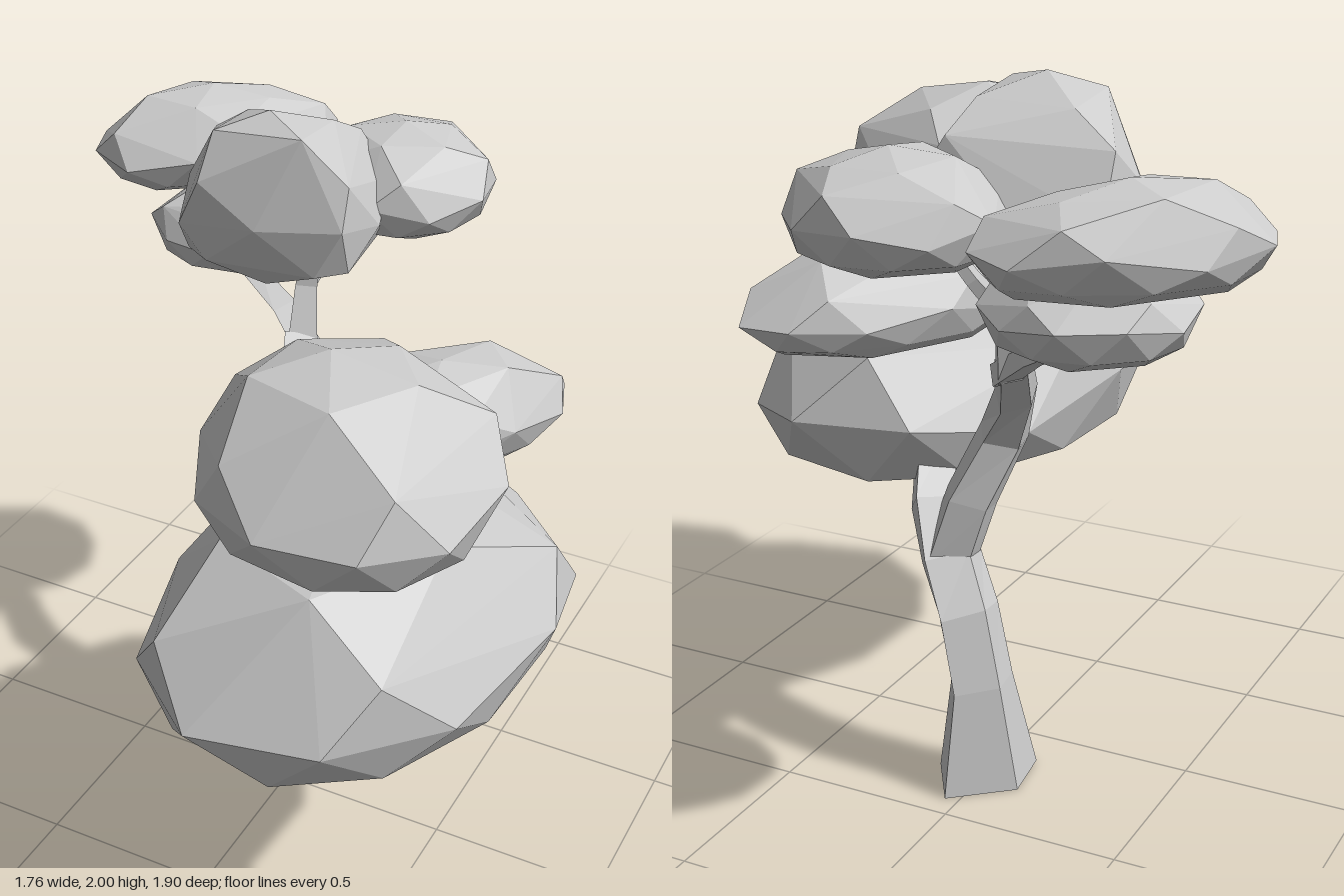
import * as THREE from 'three';
import { ConvexGeometry } from 'three/addons/geometries/ConvexGeometry.js';

const material = new THREE.MeshStandardMaterial({ color: 0xcccccc, flatShading: true });
const { degToRad, lerp } = THREE.MathUtils;

// Uneven four-sided cross-section shared by trunk and branches: [angle, radius factor]
const CORNERS = [[4, 0.9], [126, 1.25], [189, 0.9], [281, 1.06]];

// Tapered limb swept through nodes [x, y, z, radius]
function limb(name, nodes) {
  const pts = nodes.map(([x, y, z]) => new THREE.Vector3(x, y, z));
  const n = CORNERS.length;
  const pos = [];
  const index = [];
  pts.forEach((p, i) => {
    const t = pts[Math.min(i + 1, pts.length - 1)].clone().sub(pts[Math.max(i - 1, 0)]).normalize();
    if (p.y === 0) t.set(0, 1, 0);
    const u = new THREE.Vector3(1, 0, 0).addScaledVector(t, -t.x).normalize();
    const v = u.clone().cross(t);
    for (const [angle, factor] of CORNERS) {
      const a = degToRad(angle), r = nodes[i][3] * factor;
      const q = p.clone().addScaledVector(u, Math.cos(a) * r).addScaledVector(v, Math.sin(a) * r);
      pos.push(q.x, q.y, q.z);
    }
  });
  for (let i = 0; i < pts.length - 1; i++) {
    for (let j = 0; j < n; j++) {
      const a = i * n + j, b = i * n + (j + 1) % n;
      index.push(a, a + n, b, b, a + n, b + n);
    }
  }
  // End caps
  const e = (pts.length - 1) * n;
  index.push(0, 1, 2, 0, 2, 3, e, e + 2, e + 1, e, e + 3, e + 2);
  const indexed = new THREE.BufferGeometry();
  indexed.setAttribute('position', new THREE.Float32BufferAttribute(pos, 3));
  indexed.setIndex(index);
  const geometry = indexed.toNonIndexed();
  geometry.computeVertexNormals();
  const mesh = new THREE.Mesh(geometry, material);
  mesh.name = name;
  return mesh;
}

const signedPow = (v, p) => Math.sign(v) * Math.abs(v) ** p;

// Faceted leaf clump: a turned egg-shaped plan, domed to an apex and flat underneath.
// taper widens the plan towards its yaw end; powers below 1 square it off, above 1 sharpen it.
function clump({ name, center, size, yaw, taper = 0, power = [1, 1], sides = 10, mid, bottom, apex, base = 0.6 }) {
  const [ax, ay, az] = apex;
  const c = Math.cos(degToRad(yaw)), s = Math.sin(degToRad(yaw));
  const rise = ay - mid, drop = mid - bottom;
  const wobble = (i, k) => Math.sin(i * 2.4 + k * 1.7 + ax * 9);
  const points = [new THREE.Vector3(ax, ay, az)];

  // Adds the plan point at step i, scaled and leaning towards the apex
  const add = (i, scale, y, lean = 0) => {
    const a = (i / sides) * Math.PI * 2;
    const along = size[0] * signedPow(Math.cos(a), power[0]) * scale;
    const across = size[1] * signedPow(Math.sin(a), power[1]) * (1 + taper * Math.cos(a)) * scale;
    points.push(new THREE.Vector3(
      lerp(center[0], ax, lean) + along * c - across * s, y,
      lerp(center[1], az, lean) + along * s + across * c));
  };

  for (let i = 0; i < sides; i++) {
    add(i, 1 + 0.02 * wobble(i, 3), mid + wobble(i, 0) * 0.12 * rise);
    add(i + 0.5, 0.87, mid - drop * 0.65);
    if (i % 2 === 0) {
      add(i, base, bottom);
      add(i + 0.5, 0.9, mid + rise * (0.48 + 0.08 * wobble(i, 1)), 0.25);
      add(i + 1.2, 0.54, mid + rise * (0.83 + 0.06 * wobble(i, 2)), 0.7);
    }
  }
  const mesh = new THREE.Mesh(new ConvexGeometry(points), material);
  mesh.name = name;
  return mesh;
}

const CLUMPS = [
  { name: 'largeLowerFoliage', center: [0.38, 0.3], size: [0.655, 0.47], yaw: 104, power: [1, 0.8],
    mid: 0.98, bottom: 0.74, apex: [0.37, 1.34, 0.42], base: 0.46 },
  { name: 'frontUpperFoliage', center: [0.43, 0.495], size: [0.37, 0.365], yaw: 100, power: [0.95, 0.85],
    mid: 1.52, bottom: 1.34, apex: [0.36, 1.81, 0.47], base: 0.55 },
  { name: 'middleFoliage', center: [0.365, -0.155], size: [0.4, 0.2], yaw: -54, power: [1, 0.8],
    mid: 1.3, bottom: 1.2, apex: [0.38, 1.48, -0.14], base: 0.7 },
  { name: 'crownFoliage', center: [-0.195, -0.36], size: [0.275, 0.225], yaw: -7, power: [0.45, 0.45], sides: 8,
    mid: 1.72, bottom: 1.53, apex: [-0.2, 2, -0.29], base: 0.62 },
  { name: 'rightUpperFoliage', center: [-0.58, -0.68], size: [0.37, 0.2], yaw: -44, taper: -0.2,
    power: [1, 1.15], mid: 1.7, bottom: 1.6, apex: [-0.6, 1.86, -0.7], base: 0.7 },
  { name: 'rightLowerFoliage', center: [-0.45, -0.58], size: [0.26, 0.23], yaw: -25,
    mid: 1.51, bottom: 1.4, apex: [-0.42, 1.64, -0.55] },
  { name: 'backFoliage', center: [0.005, -0.665], size: [0.28, 0.265], yaw: -25,
    mid: 1.7, bottom: 1.59, apex: [0.02, 1.87, -0.68] },
];

export function createModel() {
  const tree = new THREE.Group();
  tree.name = 'tree';

  const wood = new THREE.Group();
  wood.name = 'wood';
  wood.add(
    // Leaning trunk and the front limb with its side twig
    limb('trunk', [[0.01, 0, -0.28, 0.145], [0.01, 0.3, -0.295, 0.09], [0.055, 0.5, -0.285, 0.088],
      [0.12, 0.64, -0.255, 0.088], [0.18, 0.77, -0.2, 0.085], [0.25, 0.92, -0.08, 0.06]]),
    limb('frontBranch', [[0.22, 0.86, -0.13, 0.06], [0.3, 1.12, 0.05, 0.045],
      [0.35, 1.28, 0.18, 0.035], [0.37, 1.45, 0.32, 0.03]]),
    limb('middleTwig', [[0.28, 1.06, 0, 0.04], [0.34, 1.18, -0.05, 0.03], [0.37, 1.3, -0.13, 0.025]]),
    // Rear limb and its twigs
    limb('rearBranch', [[0.12, 0.64, -0.25, 0.078], [0.06, 0.82, -0.24, 0.076], [-0.02, 1, -0.2, 0.072],
      [-0.09, 1.14, -0.26, 0.06], [-0.16, 1.28, -0.41, 0.05]]),
    limb('crownTwig', [[-0.15, 1.25, -0.4, 0.045], [-0.17, 1.42, -0.46, 0.033], [-0.15, 1.6, -0.48, 0.024]]),
    limb('rightTwig', [[-0.13, 1.25, -0.4, 0.045], [-0.24, 1.33, -0.46, 0.038], [-0.38, 1.4, -0.51, 0.03],
      [-0.43, 1.47, -0.54, 0.022]]),
    limb('backTwig', [[-0.17, 1.42, -0.46, 0.026], [-0.12, 1.53, -0.54, 0.02], [-0.06, 1.65, -0.6, 0.016]]),
  );

  const foliage = new THREE.Group();
  foliage.name = 'foliage';
  foliage.add(...CLUMPS.map(clump));

  tree.add(wood, foliage);
  return tree;
}
